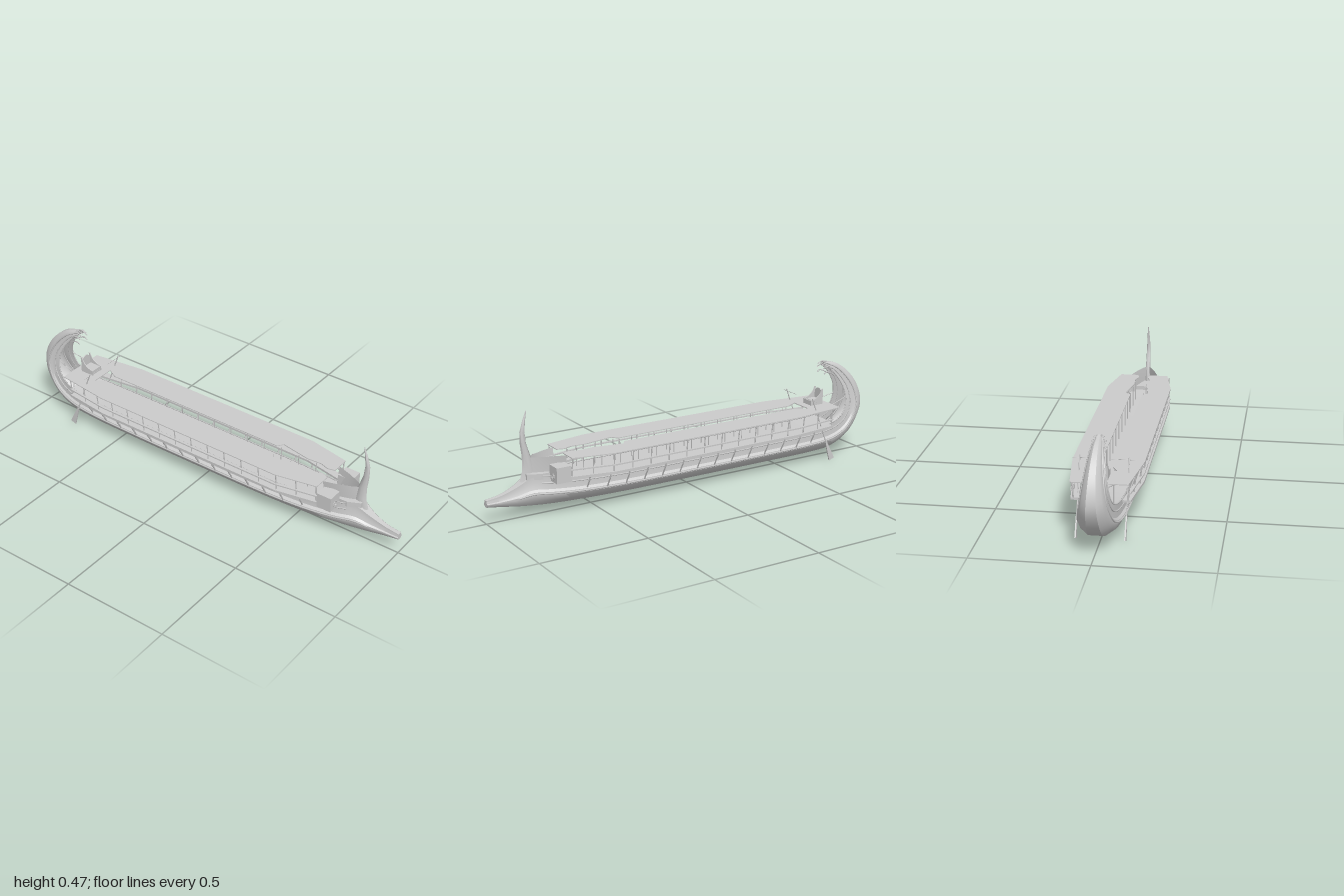
import * as THREE from 'three';
import { toCreasedNormals } from 'three/addons/utils/BufferGeometryUtils.js';

const V = (x, y, z) => new THREE.Vector3(x, y, z);
const material = new THREE.MeshStandardMaterial({ color: 0xcccccc, side: THREE.DoubleSide });

export function createModel() {
  const ship = new THREE.Group();
  ship.name = 'galley';

  const add = (name, geometry) => {
    const mesh = new THREE.Mesh(geometry, material);
    mesh.name = name;
    ship.add(mesh);
    return mesh;
  };

  // Skin over rows of points
  const skin = (rows, crease = 0.6) => {
    const n = rows[0].length, index = [];
    for (let i = 0; i < rows.length - 1; i++)
      for (let j = 0; j < n - 1; j++) {
        const a = i * n + j, b = a + n;
        index.push(a, b, a + 1, b, b + 1, a + 1);
      }
    const g = new THREE.BufferGeometry().setFromPoints(rows.flat());
    g.setIndex(index);
    return toCreasedNormals(g, crease);
  };

  const tube = (name, points, radius, steps = 8, sides = 5) =>
    add(name, new THREE.TubeGeometry(new THREE.CatmullRomCurve3(points), steps, radius, sides));

  const rod = (name, a, b, r0, r1 = r0, sides = 6) => {
    const mesh = add(name, new THREE.CylinderGeometry(r1, r0, a.distanceTo(b), sides));
    mesh.position.copy(a).add(b).multiplyScalar(0.5);
    mesh.quaternion.setFromUnitVectors(V(0, 1, 0), b.clone().sub(a).normalize());
    return mesh;
  };

  // Horizontal slab from a plan of [x, z] points
  const slab = (name, plan, top, depth) => {
    const shape = new THREE.Shape(plan.map(([x, z]) => new THREE.Vector2(x, z)));
    const g = new THREE.ExtrudeGeometry(shape, { depth, bevelEnabled: false }).rotateX(Math.PI / 2);
    add(name, g).position.y = top;
  };

  // Hull stations: keel z, keel y, gunwale z, gunwale y, wale half-width, gunwale half-width
  const stations = [
    [1.0, 0.078, 1.0, 0.108, 0.018, 0.010], [0.93, 0.068, 0.93, 0.119, 0.021, 0.011],
    [0.86, 0.058, 0.86, 0.145, 0.034, 0.018], [0.80, 0.053, 0.79, 0.182, 0.052, 0.034],
    [0.72, 0.048, 0.72, 0.182, 0.073, 0.058], [0.60, 0.044, 0.60, 0.175, 0.091, 0.077],
    [0.40, 0.04, 0.40, 0.17, 0.103, 0.09], [0.0, 0.038, 0.0, 0.168, 0.105, 0.092],
    [-0.45, 0.038, -0.45, 0.168, 0.104, 0.091], [-0.68, 0.039, -0.68, 0.17, 0.097, 0.086],
    [-0.80, 0.047, -0.77, 0.178, 0.086, 0.077], [-0.90, 0.09, -0.83, 0.195, 0.075, 0.068],
    [-0.965, 0.16, -0.865, 0.225, 0.064, 0.060], [-0.996, 0.235, -0.88, 0.27, 0.053, 0.052],
    [-0.98, 0.315, -0.875, 0.325, 0.042, 0.042], [-0.93, 0.39, -0.85, 0.375, 0.032, 0.033],
    [-0.855, 0.448, -0.81, 0.425, 0.022, 0.024], [-0.78, 0.47, -0.775, 0.45, 0.012, 0.018],
  ];
  const keelLine = new THREE.CatmullRomCurve3(stations.map(s => V(s[4], s[1], s[0])));
  const topLine = new THREE.CatmullRomCurve3(stations.map(s => V(s[5], s[3], s[2])));
  const steps = (stations.length - 1) * 4;
  const hullPoint = (i, s, width) => {
    const k = keelLine.getPoint(i / steps), t = topLine.getPoint(i / steps);
    return V(width(k.x, t.x), k.y + (t.y - k.y) * s, k.z + (t.z - k.z) * s);
  };
  // Half section from keel to gunwale: height fraction, wale share, gunwale share
  const section = [[0, 0, 0], [0, 0.4, 0], [0.2, 0.82, 0], [0.4, 0.99, 0], [0.5, 0.99, 0],
    [0.57, 0.45, 0.5], [0.78, 0.05, 0.93], [1, 0, 1]];
  const hullRows = [], floorRows = [];
  for (let i = 0; i <= steps; i++) {
    const half = m => section.map(([s, w, g]) => hullPoint(i, s, (a, b) => m * (a * w + b * g)));
    hullRows.push([...half(-1).reverse(), ...half(1).slice(1)]);
    if (i <= 41) floorRows.push([-1, 1].map(m => hullPoint(i, 0.98, (a, b) => m * b)));
  }
  add('hull', skin(hullRows, 0.5));
  add('lowerDeck', skin(floorRows));
  add('ramTip', new THREE.ShapeGeometry(new THREE.Shape(
    hullRows[0].map(p => new THREE.Vector2(p.x, p.y))))).position.z = 1;

  // Bow deck collar, bulwark and stem post
  slab('bowCollar', [[-0.052, 0.68], [-0.048, 0.76], [-0.022, 0.815], [0.022, 0.815], [0.048, 0.76], [0.052, 0.68]], 0.196, 0.026);
  const bulwark = [[-0.066, 0.645], [-0.045, 0.71], [-0.02, 0.77], [0, 0.80], [0.02, 0.77], [0.045, 0.71], [0.066, 0.645]];
  add('bowBulwark', skin([[0.18, 0.8], [0.215, 0.86], [0.265, 1]].map(([y, k]) =>
    bulwark.map(([x, z]) => V(x * k, y, z)))));
  // y, back z, front z, half-width
  const stem = [[0.16, 0.75, 0.84, 0.016], [0.21, 0.77, 0.825, 0.014], [0.27, 0.785, 0.825, 0.012],
    [0.33, 0.803, 0.832, 0.010], [0.38, 0.808, 0.832, 0.008], [0.43, 0.803, 0.817, 0.005], [0.472, 0.796, 0.8, 0.002]];
  add('stemPost', skin(stem.map(([y, z0, z1, w]) => Array.from({ length: 9 }, (_, j) => {
    const a = -j / 8 * Math.PI * 2;
    return V(Math.cos(a) * w, y, (z0 + z1) / 2 + Math.sin(a) * (z1 - z0) / 2);
  })), 1.2));

  // Half-width of the upper deck along the ship
  const edge = z => z > 0.45 ? 0.153 - (z - 0.45) * 0.195
    : z < -0.53 ? 0.153 - (-0.53 - z) * 0.127 : 0.153;
  const strip = (s, z0, z1, out, inn) => {
    const zs = [z0, 0.45, -0.53, z1];
    return [...zs.map(z => [s * (edge(z) - out), z]), ...zs.reverse().map(z => [s * (edge(z) - inn), z])];
  };

  for (const s of [-1, 1]) {
    // Upper deck half with the long central opening
    slab('upperDeck', [[0.115, 0.645], [0.153, 0.45], [0.153, -0.53], [0.12, -0.79], [0, -0.79], [0, -0.65],
      [0.055, -0.65], [0.028, -0.60], [0.028, 0.34], [0.055, 0.36], [0.03, 0.50], [0.035, 0.57],
      [0.022, 0.61], [0.03, 0.645]].map(([x, z]) => [s * x, z]), 0.266, 0.004);

    // Outrigger shelf and rails
    slab('outriggerShelf', strip(s, 0.66, -0.75, 0.001, 0.036), 0.181, 0.01);
    slab('middleRail', strip(s, 0.66, -0.75, 0.001, 0.012), 0.214, 0.006);

    // Wales following the hull up the stern
    for (const [at, w, g, r] of [[0.45, 1, 0, 0.004], [0.78, 0.05, 0.95, 0.003], [1, 0, 1, 0.003]]) {
      const path = [];
      for (let i = at < 0.5 ? 8 : 14; i <= steps; i += 2) path.push(hullPoint(i, at, (a, b) => s * (a * w + b * g)));
      tube('wale', path, r, 90);
    }

    // Curved brackets below the shelf
    for (let i = 0; i < 14; i++) {
      const z = 0.56 - i * 0.0925, x = edge(z);
      tube('bracket', [V(s * (x - 0.05), 0.1, z), V(s * (x - 0.037), 0.125, z),
        V(s * (x - 0.022), 0.15, z), V(s * (x - 0.016), 0.173, z)], 0.004, 5, 4);
    }
    // Posts carrying the upper deck
    for (let i = 0; i < 16; i++) {
      const z = 0.64 - i * 0.0925, x = edge(z);
      tube('deckPost', [V(s * (x - 0.012), 0.175, z), V(s * (x - 0.01), 0.215, z), V(s * (x - 0.003), 0.264, z)], 0.0033, 4, 4);
      if (z < 0.6 && z > -0.6) rod('innerPost', V(s * 0.032, 0.165, z), V(s * 0.032, 0.264, z), 0.0025, 0.0025, 4);
    }
    rod('sternPost', V(s * 0.06, 0.17, -0.785), V(s * 0.06, 0.264, -0.785), 0.003);
    rod('sternStay', V(s * 0.06, 0.262, -0.79), V(s * 0.046, 0.285, -0.878), 0.002);

    // Outrigger end box with a ringed eye
    add('endBox', new THREE.BoxGeometry(0.069, 0.071, 0.07)).position.set(s * 0.0825, 0.1975, 0.685);
    for (const [r, t] of [[0.014, 0.002], [0.007, 0.002]])
      add('eyeRing', new THREE.TorusGeometry(r, t, 6, 20)).position.set(s * 0.081, 0.187, 0.72);

    // Steering oar, blade and tiller
    rod('oarShaft', V(s * 0.103, 0.326, -0.638), V(s * 0.103, 0.08, -0.733), 0.003);
    const blade = new THREE.Shape([[-0.004, 0.052], [0.004, 0.052], [0.015, -0.05], [-0.015, -0.05]]
      .map(p => new THREE.Vector2(...p)));
    const oar = add('oarBlade', new THREE.ExtrudeGeometry(blade, { depth: 0.006, bevelEnabled: false })
      .translate(0, 0, -0.003).rotateY(Math.PI / 2));
    oar.position.set(s * 0.103, 0.053, -0.744);
    oar.rotation.x = 0.37;
    rod('tiller', V(s * 0.03, 0.315, -0.643), V(s * 0.133, 0.315, -0.643), 0.0013);

    // Seat side with a sweeping arm
    const arm = new THREE.Shape();
    arm.moveTo(0.685, 0);
    arm.lineTo(0.685, 0.024);
    arm.quadraticCurveTo(0.735, 0.03, 0.75, 0.074);
    arm.lineTo(0.757, 0.074);
    arm.lineTo(0.75, 0);
    const side = add('seatSide', new THREE.ExtrudeGeometry(arm, { depth: 0.004, bevelEnabled: false })
      .translate(0, 0, -0.002).rotateY(Math.PI / 2));
    side.position.set(s * 0.029, 0.266, 0);

    // Fan of curling fingers on the stern ornament
    for (const [x, y, z] of [[0.008, 0.468, -0.757], [0.018, 0.462, -0.757], [0.026, 0.445, -0.757], [0.027, 0.42, -0.762]])
      tube('sternFinger', [V(s * x * 0.6, y - 0.025, -0.83), V(s * x * 0.95, y - 0.008, -0.80),
        V(s * x, y, -0.775), V(s * x * 0.95, y - 0.008, z)], 0.0028, 8);
  }

  // Seat panel and back
  add('seatPanel', new THREE.BoxGeometry(0.056, 0.022, 0.06)).position.set(0, 0.277, -0.718);
  const back = new THREE.Shape();
  back.moveTo(-0.03, 0);
  back.lineTo(-0.03, 0.055);
  back.quadraticCurveTo(0, 0.092, 0.03, 0.055);
  back.lineTo(0.03, 0);
  add('seatBack', new THREE.ExtrudeGeometry(back, { depth: 0.005, bevelEnabled: false }))
    .position.set(0, 0.266, -0.756);

  return ship;
}
